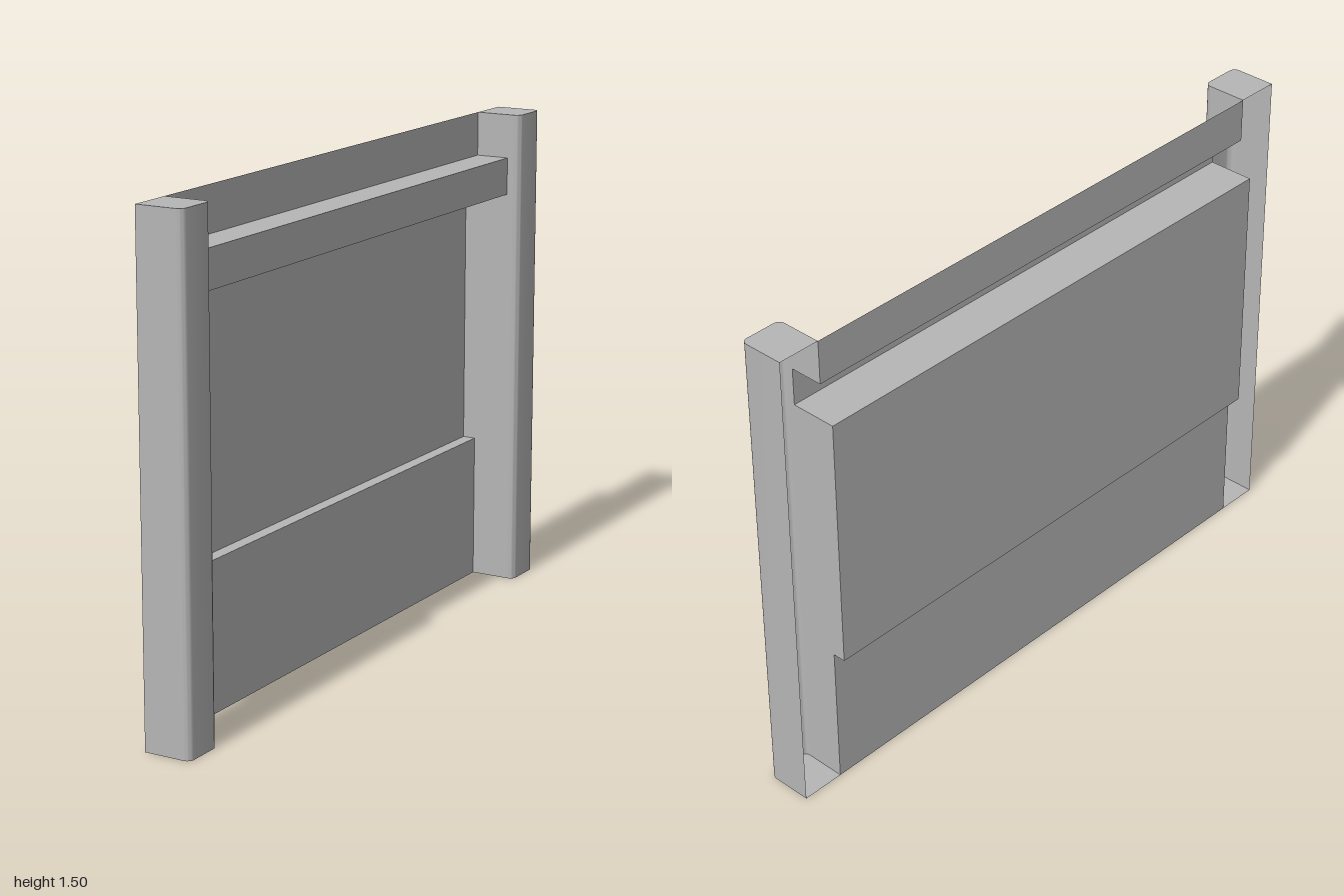
import * as THREE from 'three';
import { toCreasedNormals } from 'three/addons/utils/BufferGeometryUtils.js';

const HEIGHT = 1.5, INNER = 0.865, OUTER = 1;
const BACK = -0.055, FRONT = 0.09, RADIUS = 0.02;
const RAIL_X = 0.05, RAIL_LOW = 1.25, RAIL_TOP = 1.365;
const PANEL_X = -0.095, PANEL_LOW = 0.45;

// Open surface between two matching rows of points
function loft(rowA, rowB) {
  const pos = [];
  for (let i = 0; i < rowA.length - 1; i++) {
    pos.push(...rowA[i], ...rowA[i + 1], ...rowB[i + 1]);
    pos.push(...rowA[i], ...rowB[i + 1], ...rowB[i]);
  }
  const g = new THREE.BufferGeometry();
  g.setAttribute('position', new THREE.Float32BufferAttribute(pos, 3));
  g.computeVertexNormals();
  return toCreasedNormals(g, 0.6);
}

function flat(points) {
  return new THREE.ShapeGeometry(new THREE.Shape(points.map(([x, y]) => new THREE.Vector2(x, y))));
}

// Post outline in x and z, open at the back and on the inner side
function postOutline(s) {
  const pts = [[BACK, OUTER]];
  const arc = (cz, from) => {
    for (let i = 0; i <= 6; i++) {
      const a = from - (i / 6) * Math.PI / 2;
      pts.push([FRONT - RADIUS + RADIUS * Math.cos(a), cz + RADIUS * Math.sin(a)]);
    }
  };
  arc(OUTER - RADIUS, Math.PI / 2);
  arc(INNER + RADIUS, 0);
  const out = pts.map(([x, z]) => [x, z * s]);
  return s > 0 ? out : out.reverse();
}

export function createModel() {
  const grey = new THREE.MeshStandardMaterial({ color: 0xb6b6b6, side: THREE.DoubleSide });
  grey.name = 'grey';
  const model = new THREE.Group();
  model.name = 'panelledFrame';
  const add = (parent, name, geometry) => {
    const mesh = new THREE.Mesh(geometry, grey);
    mesh.name = name;
    parent.add(mesh);
    return mesh;
  };

  // Folded sheet: top strip, projecting rail, recessed panel and lower strip
  const profile = [
    [BACK, HEIGHT], [BACK, RAIL_TOP], [RAIL_X, RAIL_TOP], [RAIL_X, RAIL_LOW],
    [PANEL_X, RAIL_LOW], [PANEL_X, PANEL_LOW], [BACK, PANEL_LOW], [BACK, 0],
  ];
  add(model, 'railAndPanels', loft(
    profile.map(([x, y]) => [x, y, INNER]),
    profile.map(([x, y]) => [x, y, -INNER]),
  ));

  // Inner post wall, notched for the hollow rail and covering the panel end
  const wall = [[FRONT - RADIUS, 0], [FRONT - RADIUS, HEIGHT], ...profile];

  // Hollow posts, open at the back
  for (const s of [1, -1]) {
    const post = new THREE.Group();
    post.name = s > 0 ? 'frontPost' : 'backPost';
    model.add(post);
    const outline = postOutline(s);
    add(post, 'postShell', loft(
      outline.map(([x, z]) => [x, 0, z]),
      outline.map(([x, z]) => [x, HEIGHT, z]),
    ));
    const footprint = [...outline];
    if (s > 0) footprint.push([BACK, INNER]);
    else footprint.unshift([BACK, -INNER]);
    add(post, 'postTop', flat(footprint.map(([x, z]) => [x, -z])).rotateX(-Math.PI / 2)).position.y = HEIGHT;
    add(post, 'postBottom', flat(footprint).rotateX(Math.PI / 2));
    const inner = flat(wall.map(([x, y]) => [-s * x, y]));
    if (s > 0) inner.rotateY(Math.PI);
    add(post, 'postInnerWall', inner).position.z = s * INNER;
  }
  return model;
}
